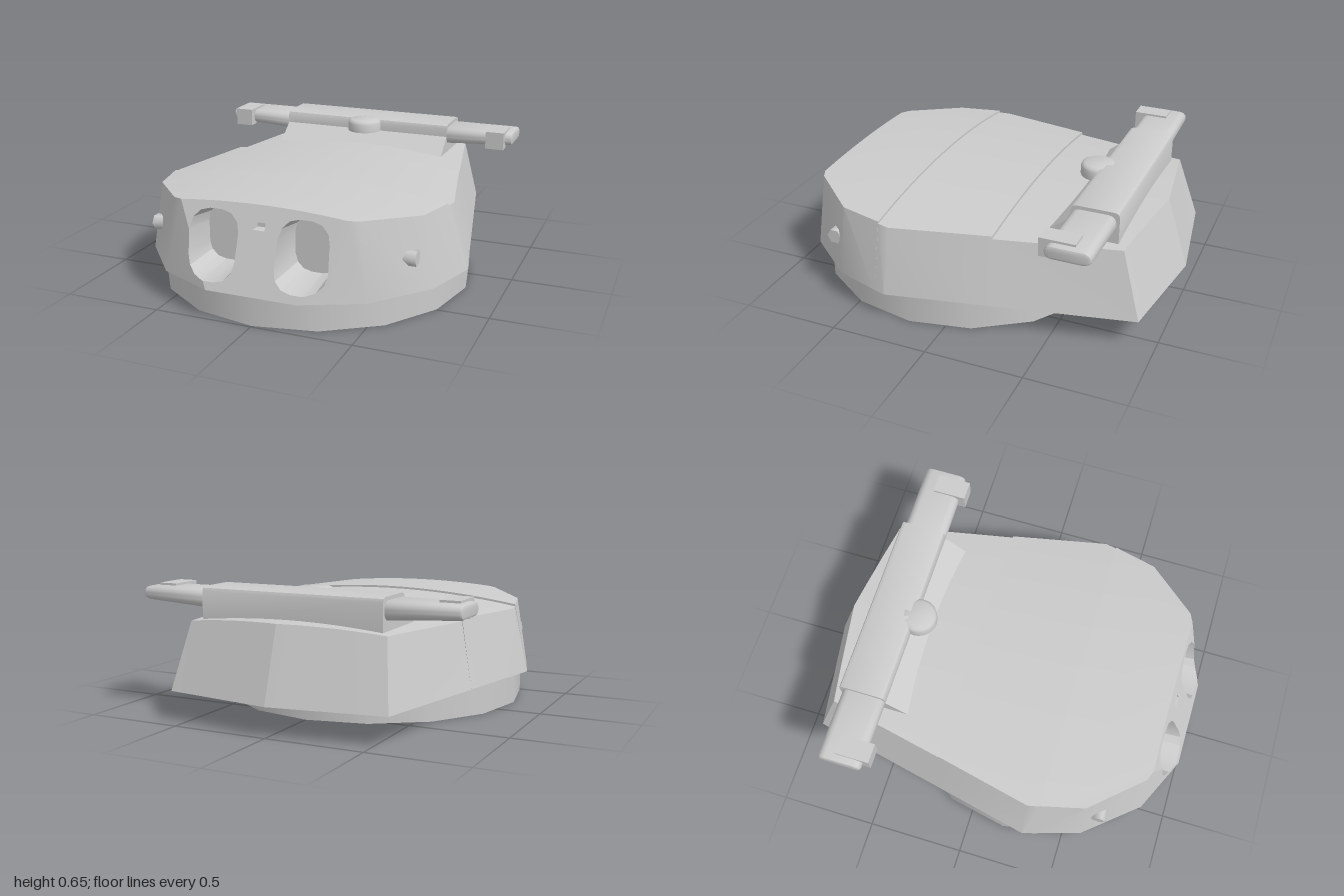
import * as THREE from 'three';
import { mergeGeometries, toCreasedNormals } from 'three/addons/utils/BufferGeometryUtils.js';

const mat = new THREE.MeshStandardMaterial({ color: 0xcccccc, side: THREE.DoubleSide });
const BASE = 0.147;
const roofY = (x, crown) => crown - 0.11 * x * x;

// front armour: a sloped plate and a facet meeting at a slanted crease
const plateZ = (x, y) => 1 - 0.375 * (y - BASE);
const facetZ = (x, y) => 1 - 0.4655 * (x - 0.23) - 0.141 * (y - BASE);
const frontZ = (x, y) => Math.min(plateZ(x, y), facetZ(Math.abs(x), y));
const creaseX = y => 0.23 + 0.503 * (y - BASE);

// half outline, front to rear: top z, top half-width, roof crown, bottom x, bottom z
const FRONT_W = 0.42, FRONT_CROWN = 0.546;
const outline = [
  [0.835, 0.47, 0.547, 0.52, 0.865],
  [0.585, 0.69, 0.552, 0.747, 0.595],
  [0.36, 0.745, 0.556, 0.82, 0.362],
  [0.36, 0.745, 0.545, 0.82, 0.362],
  [0.3, 0.757, 0.544, 0.838, 0.3],
  [-0.2, 0.65, 0.535, 0.722, -0.247],
  [-0.2, 0.65, 0.52, 0.722, -0.247],
  [-0.81, 0.525, 0.513, 0.58, -0.915],
];
const REAR_W = 0.525, REAR_CROWN = 0.513;

function add(parent, name, geo, x = 0, y = 0, z = 0) {
  const mesh = new THREE.Mesh(geo, mat);
  mesh.name = name;
  mesh.position.set(x, y, z);
  parent.add(mesh);
}

// surface through rows of [x, y, z] points
function grid(rows) {
  const pos = [];
  for (let i = 0; i + 1 < rows.length; i++)
    for (let j = 0; j + 1 < rows[i].length; j++) {
      const a = rows[i][j], b = rows[i][j + 1], c = rows[i + 1][j + 1], d = rows[i + 1][j];
      pos.push(...a, ...d, ...c, ...a, ...c, ...b);
    }
  const geo = new THREE.BufferGeometry();
  geo.setAttribute('position', new THREE.Float32BufferAttribute(pos, 3));
  return toCreasedNormals(geo, 0.45);
}

// flat outline in x and y, with z set by a rule
function panel(points, zAt) {
  const geo = new THREE.ShapeGeometry(new THREE.Shape(points.map(p => new THREE.Vector2(p[0], p[1])))).toNonIndexed();
  geo.deleteAttribute('uv');
  const p = geo.attributes.position;
  for (let i = 0; i < p.count; i++) p.setZ(i, zAt(p.getX(i), p.getY(i)));
  geo.computeVertexNormals();
  return geo;
}

// copy reflected in x, with the corner order restored
function mirrored(source) {
  const geo = source.index ? source.toNonIndexed() : source.clone();
  for (const key of ['position', 'normal']) {
    const a = geo.attributes[key];
    for (let i = 0; i < a.count; i += 3) {
      const v = [0, 2, 1].map(k => [-a.getX(i + k), a.getY(i + k), a.getZ(i + k)]);
      v.forEach((q, k) => a.setXYZ(i + k, ...q));
    }
  }
  return geo;
}
function addPair(parent, name, geo) {
  add(parent, name + 'Left', geo);
  add(parent, name + 'Right', mirrored(geo));
}

// counter-clockwise rounded rectangle
function roundedRect(cx, cy, hw, hh, r, seg) {
  const pts = [];
  [[1, -1], [1, 1], [-1, 1], [-1, -1]].forEach(([sx, sy], q) => {
    for (let k = 0; k <= seg; k++) {
      const a = (q - 1 + k / seg) * Math.PI / 2;
      pts.push([cx + sx * (hw - r) + r * Math.cos(a), cy + sy * (hh - r) + r * Math.sin(a)]);
    }
  });
  return pts;
}

// pocket sunk behind the front armour
function addRecess(parent, name, loop, cx, cy, backZ, taper) {
  const cw = [...loop, loop[0]].reverse();
  const back = cw.map(([x, y]) => [cx + (x - cx) * taper, cy + (y - cy) * taper, backZ]);
  const wall = grid([cw.map(([x, y]) => [x, y, frontZ(x, y)]), back]);
  const pocket = mergeGeometries([wall, panel(back.slice(1), () => backZ)]);
  if (cx === 0) add(parent, name, pocket);
  else addPair(parent, name, pocket);
}

function buildWalls(g) {
  const cx = 0.2275, cy = 0.345;
  const hole = roundedRect(cx, cy, 0.1275, 0.16, 0.095, 3);
  const side = p => p[0] - creaseX(p[1]);
  const hit = (a, b) => {
    const t = side(a) / (side(a) - side(b));
    return [a[0] + (b[0] - a[0]) * t, a[1] + (b[1] - a[1]) * t];
  };
  // split the opening where it crosses the crease
  const n = hole.length;
  const s = hole.findIndex((p, i) => side(p) < 0 && side(hole[(i + n - 1) % n]) >= 0);
  const loop = [...hole.slice(s), ...hole.slice(0, s)];
  const e = loop.findIndex(p => side(p) >= 0);
  const topHit = hit(loop[n - 1], loop[0]), lowHit = hit(loop[e - 1], loop[e]);
  const inner = loop.slice(0, e), outer = loop.slice(e);

  const top = [];
  for (let k = 8; k >= 0; k--) top.push([FRONT_W * k / 8, roofY(FRONT_W * k / 8, FRONT_CROWN)]);
  addPair(g, 'frontPlate', panel([[0, BASE], [0.23, BASE], lowHit, ...inner.slice().reverse(), topHit, ...top,
    [0, 0.47], [0.03, 0.47], [0.03, 0.435], [0, 0.435]], plateZ));
  addRecess(g, 'gunOpening', [topHit, ...inner, lowHit, ...outer], cx, cy, 0.74, 0.87);
  addRecess(g, 'sightSlot', [[-0.03, 0.435], [0.03, 0.435], [0.03, 0.47], [-0.03, 0.47]], 0, 0.4525, 0.84, 1);

  // front facet blends smoothly into the side wall
  const facet = panel([[0.23, BASE], [0.52, BASE], [0.47, roofY(0.47, 0.547)], top[0],
    topHit, ...outer.slice().reverse(), lowHit], facetZ);
  const sideWall = grid([
    outline.map(([z, w, c]) => [w, roofY(w, c), z]),
    outline.map(([, , , x, z]) => [x, BASE, z])]);
  addPair(g, 'sideWall', toCreasedNormals(mergeGeometries([facet, sideWall]), 0.45));
}

function buildShell(g) {
  // arched roof with two small steps
  const ts = Array.from({ length: 17 }, (_, i) => 1 - i / 8);
  const front = ts.map(t => {
    const x = FRONT_W * t, y = roofY(x, FRONT_CROWN);
    return [x, y, plateZ(x, y)];
  });
  const rows = outline.map(([z, w, c], i) => ts.map(t =>
    [w * t, roofY(w * t, c), i === outline.length - 1 ? -0.885 + 0.075 * Math.abs(t) : z]));
  add(g, 'roof', grid([front, ...rows]));

  const half = ts.slice(0, 9);
  addPair(g, 'rearWall', grid([
    half.map(t => [REAR_W * t, roofY(REAR_W * t, REAR_CROWN), -0.885 + 0.075 * t]),
    half.map(t => [0.58 * t, BASE, -1 + 0.085 * t])]));

  const right = [[0.23, 1], ...outline.map(o => [o[3], o[4]]).filter((p, i) => i !== 3 && i !== 6)];
  const left = right.map(([x, z]) => [-x, z]).reverse();
  add(g, 'underside', panel([...right, [0, -1], ...left], () => 0).rotateX(Math.PI / 2), 0, BASE, 0);
}

// profile of [z, y] points extruded along x
function alongX(points, length, bevel = 0) {
  const shape = new THREE.Shape(points.map(([z, y]) => new THREE.Vector2(-z, y)));
  const geo = new THREE.ExtrudeGeometry(shape, { depth: length, bevelEnabled: bevel > 0,
    bevelSize: bevel, bevelThickness: bevel, bevelOffset: -bevel, bevelSegments: 2 });
  return toCreasedNormals(geo.rotateY(Math.PI / 2), 0.6);
}

function buildRangefinder(g) {
  const housing = alongX([[-0.4, 0.475], [-0.53, 0.58], [-0.53, 0.625], [-0.537, 0.641], [-0.555, 0.648],
    [-0.745, 0.648], [-0.763, 0.641], [-0.77, 0.625], [-0.77, 0.475]], 0.97);
  add(g, 'rangefinderHousing', housing, -0.485);
  const sight = new THREE.LatheGeometry([[0, 0.583], [0.094, 0.583], [0.094, 0.628], [0.088, 0.641], [0.075, 0.648], [0, 0.648]]
    .map(([r, y]) => new THREE.Vector2(r, y)), 24);
  add(g, 'centralSight', toCreasedNormals(sight, 0.9), 0, 0, -0.512);

  // arms get thinner towards the tip
  const arm = alongX(roundedRect(-0.6425, 0, 0.1125, 0.045, 0.04, 4), 0.373, 0.015).translate(0.465, 0, 0);
  const p = arm.attributes.position;
  for (let i = 0; i < p.count; i++) {
    const t = (p.getX(i) - 0.45) / 0.4;
    p.setY(i, 0.583 + 0.012 * t + p.getY(i) * (1.05 - 0.3 * t));
  }
  addPair(g, 'rangefinderArm', arm);
  addPair(g, 'clampTop', new THREE.BoxGeometry(0.1, 0.022, 0.175).translate(0.765, 0.629, -0.5825));
  addPair(g, 'clampFront', new THREE.BoxGeometry(0.1, 0.095, 0.06).translate(0.765, 0.5925, -0.525));
}

export function createModel() {
  const g = new THREE.Group();
  g.name = 'turret';
  // open ring under the turret
  add(g, 'turretRing', new THREE.CylinderGeometry(0.805, 0.805, BASE, 16, 1, true), 0, BASE / 2, 0.185);
  buildShell(g);
  buildWalls(g);
  // hexagonal side lugs
  const lug = new THREE.CylinderGeometry(0.04, 0.04, 0.12, 6).rotateZ(-Math.PI / 2);
  addPair(g, 'sideLug', toCreasedNormals(lug, 1.1).translate(0.63, 0.315, 0.657));
  buildRangefinder(g);
  return g;
}
